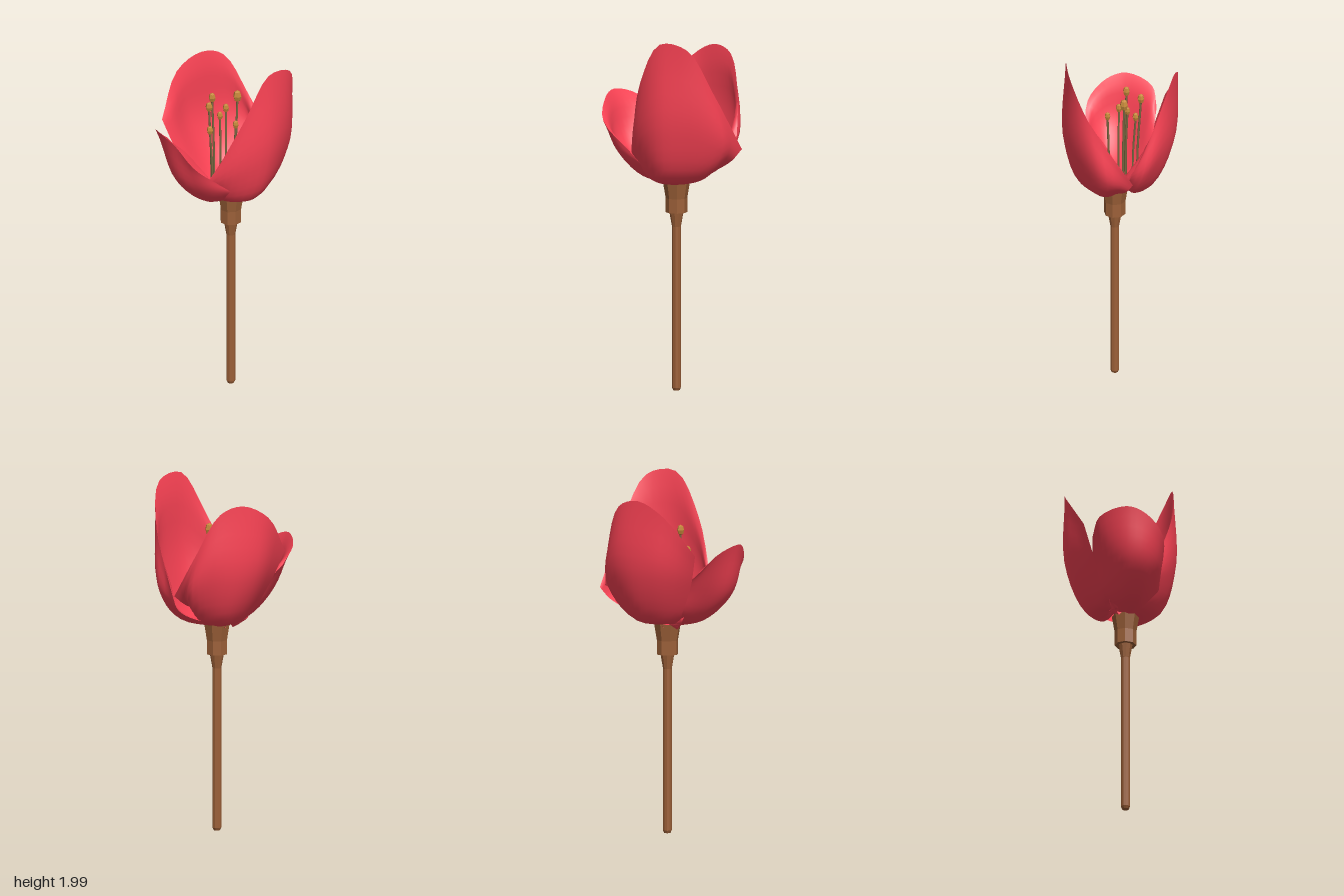
import * as THREE from 'three';
import { mergeGeometries } from 'three/addons/utils/BufferGeometryUtils.js';

const AXIS_X = 0.025, AXIS_Z = -0.025;

// Petals: six ribs each, running from the base up to the rim
const RIGHT_PETAL = [
  [[-.06, 1.18, 0], [-.065, 1.23, .1], [-.06, 1.3, .21], [.02, 1.42, .22]],
  [[-.05, 1.17, -.01], [.05, 1.2, .13], [.12, 1.4, .207], [.18, 1.75, .185]],
  [[-.04, 1.16, -.02], [.18, 1.2, .07], [.285, 1.5, .1], [.28, 1.985, .08]],
  [[-.04, 1.16, -.04], [.2, 1.2, -.06], [.325, 1.5, -.08], [.352, 1.96, -.07]],
  [[-.04, 1.16, -.06], [.19, 1.22, -.18], [.275, 1.4, -.27], [.31, 1.72, -.21]],
  [[-.03, 1.17, -.07], [.11, 1.23, -.2], [.14, 1.3, -.32], [.14, 1.37, -.382]],
];
const BACK_PETAL = [
  [[-.15, 1.23, .03], [0, 1.23, -.03], [.13, 1.29, -.18], [.148, 1.38, -.35]],
  [[-.1, 1.2, .03], [.04, 1.22, -.22], [.06, 1.4, -.36], [.01, 1.63, -.365]],
  [[-.07, 1.18, .02], [-.04, 1.21, -.22], [-.08, 1.5, -.355], [-.12, 1.86, -.335]],
  [[-.07, 1.18, .02], [-.11, 1.22, -.19], [-.2, 1.5, -.275], [-.22, 1.9, -.25]],
  [[-.08, 1.18, .02], [-.15, 1.22, -.1], [-.285, 1.5, -.15], [-.325, 1.82, -.13]],
  [[-.1, 1.21, .03], [-.15, 1.22, .01], [-.27, 1.42, .04], [-.353, 1.6, .045]],
];
const FRONT_PETAL = [
  [[-.05, 1.19, -.02], [-.165, 1.27, -.07], [-.235, 1.39, -.01], [-.325, 1.51, .085]],
  [[-.02, 1.17, -.01], [-.14, 1.22, .05], [-.25, 1.38, .13], [-.35, 1.6, .17]],
  [[0, 1.16, -.01], [-.11, 1.205, .14], [-.22, 1.37, .25], [-.27, 1.645, .305]],
  [[.01, 1.155, -.01], [-.05, 1.2, .17], [-.14, 1.36, .31], [-.17, 1.61, .36]],
  [[.02, 1.155, -.01], [0, 1.2, .15], [-.03, 1.33, .29], [-.06, 1.5, .376]],
  [[.04, 1.16, -.01], [.08, 1.2, .08], [.1, 1.26, .15], [.06, 1.33, .22]],
];

// Stamens: anther x, y, z and radius
const STAMENS = [
  [-.105, 1.71, -.09, .02], [-.04, 1.635, -.135, .018], [.03, 1.725, -.125, .024],
  [-.045, 1.63, -.045, .017], [.06, 1.61, -.005, .017], [-.085, 1.71, .025, .02],
  [-.065, 1.59, .07, .018],
];

// Smooth curved sheet through the ribs, thickened inward and tapering at the rim
function petalGeometry(ribs, nu = 20, nv = 16, thickness = 0.021) {
  const curves = ribs.map(r => new THREE.CatmullRomCurve3(r.map(p => new THREE.Vector3(...p))));
  const outer = new THREE.PlaneGeometry(1, 1, nu, nv);
  const pos = outer.attributes.position;
  for (let j = 0; j <= nv; j++) {
    const row = new THREE.CatmullRomCurve3(curves.map(c => c.getPoint(1 - j / nv)));
    for (let i = 0; i <= nu; i++) {
      const p = row.getPoint(i / nu);
      pos.setXYZ(j * (nu + 1) + i, p.x, p.y, p.z);
    }
  }
  outer.computeVertexNormals();

  const inner = outer.clone();
  const ip = inner.attributes.position, n = outer.attributes.normal;
  for (let k = 0; k < ip.count; k++) {
    const u = (k % (nu + 1)) / nu, v = Math.floor(k / (nu + 1)) / nv;
    const t = thickness * Math.sqrt(Math.min(1, 8 * Math.min(u, 1 - u, v)));
    ip.setXYZ(k, ip.getX(k) - n.getX(k) * t, ip.getY(k) - n.getY(k) * t, ip.getZ(k) - n.getZ(k) * t);
  }
  inner.setIndex(Array.from(inner.index.array).reverse());
  inner.computeVertexNormals();
  return mergeGeometries([outer, inner]);
}

function lathe(points, sides) {
  return new THREE.LatheGeometry(points.map(p => new THREE.Vector2(...p)), sides);
}

export function createModel() {
  const group = new THREE.Group();
  const red = new THREE.MeshStandardMaterial({ color: 0xfa4254, side: THREE.DoubleSide });
  const brown = new THREE.MeshStandardMaterial({ color: 0x9c6038, flatShading: true });
  const olive = new THREE.MeshStandardMaterial({ color: 0x7c6a42 });
  const gold = new THREE.MeshStandardMaterial({ color: 0xc4883a, flatShading: true });

  const add = (name, geometry, material, parent = group) => {
    const mesh = new THREE.Mesh(geometry, material);
    mesh.name = name;
    parent.add(mesh);
    return mesh;
  };

  // Stem with a bevelled foot and a flared neck
  const stem = add('stem', lathe([[0, 0], [.018, 0], [.025, .015], [.025, .92], [.04, 1.005]], 10), brown);
  // Cup that holds the petals
  const cup = add('cup', lathe([[0, 1], [.06, 1], [.06, 1.08], [.076, 1.175], [0, 1.14]], 8), brown);
  for (const m of [stem, cup]) m.position.set(AXIS_X, 0, AXIS_Z);

  // Petals
  add('rightPetal', petalGeometry(RIGHT_PETAL), red);
  add('backPetal', petalGeometry(BACK_PETAL), red);
  add('frontPetal', petalGeometry(FRONT_PETAL), red);

  // Stamens: nearly upright filament topped by a faceted anther
  for (const [x, y, z, r] of STAMENS) {
    const stamen = new THREE.Group();
    stamen.name = 'stamen';
    const path = new THREE.CatmullRomCurve3([
      new THREE.Vector3(x * 0.85, 1.2, z * 0.85),
      new THREE.Vector3(x * 0.87, 1.4, z * 0.87),
      new THREE.Vector3(x, y - r, z),
    ]);
    add('filament', new THREE.TubeGeometry(path, 8, 0.006, 6), olive, stamen);
    const anther = add('anther', new THREE.SphereGeometry(r, 6, 4), gold, stamen);
    anther.scale.y = 1.5;
    anther.position.set(x, y, z);
    group.add(stamen);
  }
  return group;
}
